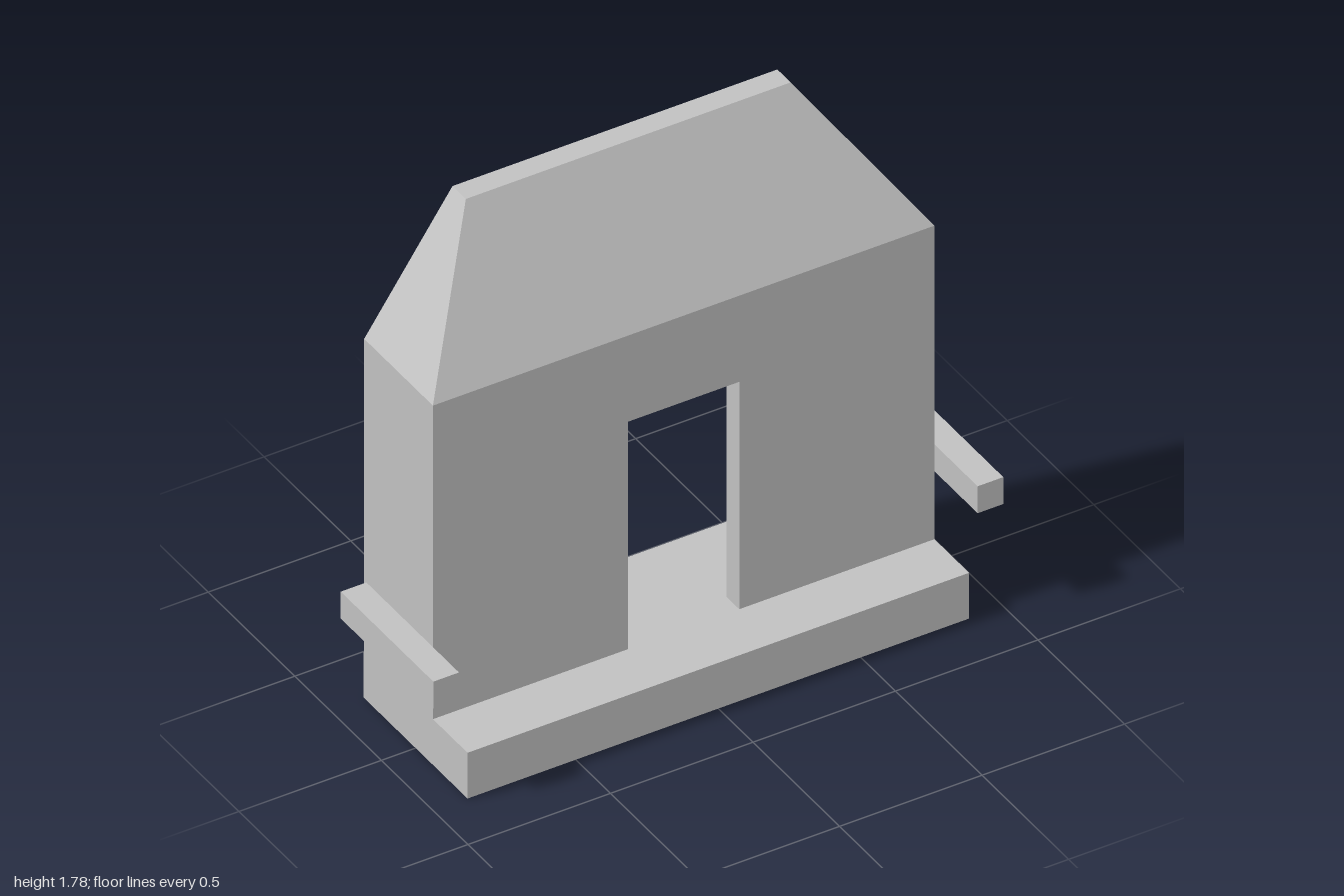
import * as THREE from 'three';

const stone = new THREE.MeshStandardMaterial({ color: 0xc0c0c0 });
stone.name = 'plain grey';

function add(group, name, geometry) {
  const mesh = new THREE.Mesh(geometry, stone);
  mesh.name = name;
  group.add(mesh);
}

// Box given by its lower and upper corners
function box(x0, x1, y0, y1, z0, z1) {
  return new THREE.BoxGeometry(x1 - x0, y1 - y0, z1 - z0)
    .translate((x0 + x1) / 2, (y0 + y1) / 2, (z0 + z1) / 2);
}

// Flat-shaded geometry from four-cornered faces, counter-clockwise from outside
function quads(faces) {
  const positions = [];
  for (const [a, b, c, d] of faces) positions.push(...a, ...b, ...c, ...a, ...c, ...d);
  const geometry = new THREE.BufferGeometry();
  geometry.setAttribute('position', new THREE.Float32BufferAttribute(positions, 3));
  geometry.computeVertexNormals();
  return geometry;
}

const W = 0.88, FLOOR = 0.17, EAVE = 1.335, TOP = 1.785;
const FRONT = 0.1, INNER = 0.025, BACK = -0.297, T = 0.02;

// Hollow hipped roof, open at the back
function roofGeometry() {
  const corners = (s) => ({
    A: [s * W, EAVE, FRONT], B: [s * W, EAVE, BACK],
    C: [s * 0.57, TOP, -0.22], D: [s * 0.57, TOP, BACK],
    a: [s * (W - T), EAVE, INNER], b: [s * (W - T), EAVE, BACK],
    c: [s * 0.572, 1.752, -0.284], d: [s * 0.572, 1.752, BACK],
  });
  const L = corners(1), R = corners(-1);
  const faces = [
    [R.A, L.A, L.C, R.C], // front slope
    [R.C, L.C, L.D, R.D], // flat top
    [L.a, R.a, R.c, L.c], // inner slope
    [L.c, R.c, R.d, L.d], // inner ceiling
    [L.d, R.d, R.D, L.D], // back rim
  ];
  for (const [p, flip] of [[L, false], [R, true]]) {
    const half = [
      [p.A, p.B, p.D, p.C], // outer hip
      [p.b, p.a, p.c, p.d], // inner hip
      [p.B, p.b, p.d, p.D], // back rim of the hip
    ];
    for (const f of half) faces.push(flip ? [...f].reverse() : f);
  }
  return quads(faces);
}

export function createModel() {
  const group = new THREE.Group();
  group.name = 'gatehouse';

  add(group, 'base', box(-W, W, 0, FLOOR, -0.3, 0.3));

  // Front wall: an outline notched by the doorway
  const wall = new THREE.Shape([
    [-W, FLOOR], [-0.195, FLOOR], [-0.195, 1.015], [0.195, 1.015],
    [0.195, FLOOR], [W, FLOOR], [W, EAVE], [-W, EAVE],
  ].map(([x, y]) => new THREE.Vector2(x, y)));
  add(group, 'frontWall', new THREE.ExtrudeGeometry(wall, { depth: FRONT - INNER, bevelEnabled: false })
    .translate(0, 0, INNER));

  add(group, 'roof', roofGeometry());

  // Side walls and the free-standing rails beside them
  for (const [side, s] of [['left', 1], ['right', -1]]) {
    const mid = s * (W - T / 2);
    add(group, side + 'Wall', box(mid - T / 2, mid + T / 2, FLOOR, EAVE, BACK, INNER));
    add(group, side + 'Rail', box(s * 0.955 - 0.045, s * 0.955 + 0.045, 0.38, 0.48, -0.235, 0.3));
  }
  return group;
}
